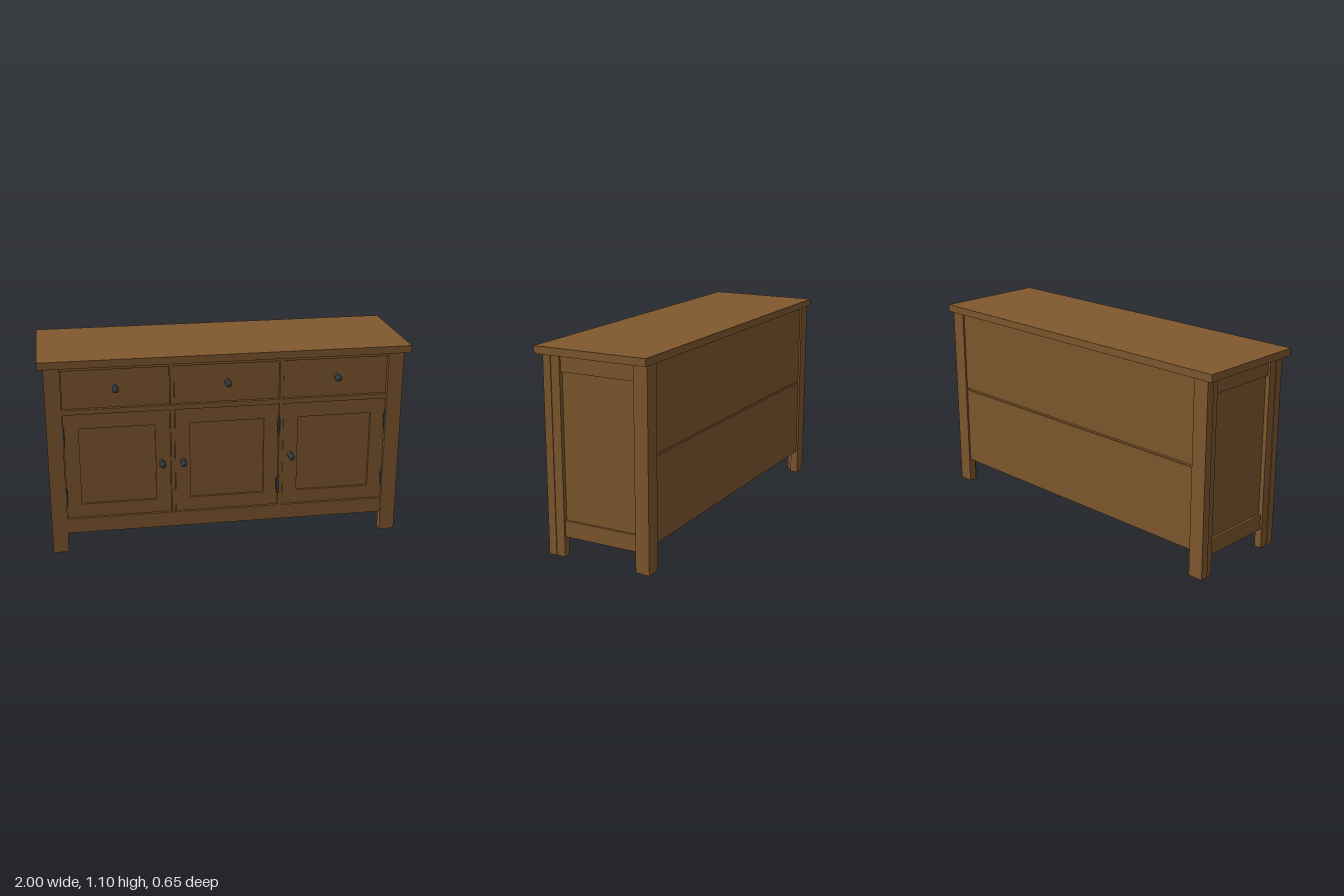
import * as THREE from 'three';

export function createModel() {
  const model = new THREE.Group();
  model.name = 'sideboard';
  const wood = new THREE.MeshStandardMaterial({ color: 0x80582e });
  wood.name = 'brown wood';
  const iron = new THREE.MeshStandardMaterial({ color: 0x3b4046 });
  iron.name = 'dark iron';

  const add = (name, geometry, material = wood, parent = model) => {
    const mesh = new THREE.Mesh(geometry, material);
    mesh.name = name;
    parent.add(mesh);
    return mesh;
  };
  // box given by its minimum and maximum on each axis
  const box = (name, x0, x1, y0, y1, z0, z1, material = wood, parent = model) => {
    const mesh = add(name, new THREE.BoxGeometry(x1 - x0, y1 - y0, z1 - z0), material, parent);
    mesh.position.set((x0 + x1) / 2, (y0 + y1) / 2, (z0 + z1) / 2);
    return mesh;
  };

  // table top
  box('top', -1, 1, 1.063, 1.103, -0.325, 0.315);

  // L-shaped corner legs: a wide board plus a slightly inset side board
  for (const [s, side] of [[1, 'left'], [-1, 'right']]) {
    const legs = { front: [0.285, 0.24, 0.19], back: [-0.315, -0.27, -0.235] };
    for (const [end, [zOuter, zMid, zInner]] of Object.entries(legs)) {
      const shape = new THREE.Shape([
        [0.885, zOuter], [0.97, zOuter], [0.97, zMid], [0.966, zMid],
        [0.966, zInner], [0.925, zInner], [0.925, zMid], [0.885, zMid],
      ].map(([x, z]) => new THREE.Vector2(s * x, -z)));
      const leg = new THREE.ExtrudeGeometry(shape, { depth: 1.063, bevelEnabled: false });
      leg.rotateX(-Math.PI / 2);
      add(`${side} ${end} leg`, leg);
    }

    // framed side panel
    const sidePart = (name, x0, x1, y0, y1) =>
      box(`${side} ${name}`, Math.min(s * x0, s * x1), Math.max(s * x0, s * x1), y0, y1, -0.236, 0.192);
    sidePart('side panel', 0.93, 0.942, 0.19, 0.98);
    sidePart('side top rail', 0.925, 0.955, 0.975, 1.063);
    sidePart('side bottom rail', 0.925, 0.955, 0.107, 0.195);
  }

  // front rails and floor
  box('front top rail', -0.885, 0.885, 1.04, 1.063, 0.24, 0.278);
  box('middle rail', -0.885, 0.885, 0.797, 0.825, 0.24, 0.28);
  box('apron', -0.885, 0.885, 0.11, 0.195, 0.24, 0.278);
  box('floor', -0.93, 0.93, 0.15, 0.17, -0.29, 0.245);

  // back boards with a groove between them
  box('lower back board', -0.9, 0.9, 0.14, 0.592, -0.305, -0.29);
  box('upper back board', -0.9, 0.9, 0.604, 1.063, -0.305, -0.29);
  box('back groove', -0.9, 0.9, 0.585, 0.61, -0.297, -0.285);

  // turned knob, its axis pointing forward
  const knobGeometry = new THREE.LatheGeometry([
    [0, 0], [0.016, 0], [0.016, 0.006], [0.008, 0.014], [0.008, 0.03],
    [0.018, 0.038], [0.018, 0.048], [0.012, 0.054], [0, 0.056],
  ].map(([r, y]) => new THREE.Vector2(r, y)), 12);
  knobGeometry.rotateX(Math.PI / 2);
  const knob = (x, y, z) => add('knob', knobGeometry, iron).position.set(x, y, z);

  // hinge: small barrel with a leaf and end caps
  const hinge = (x, y) => {
    const group = new THREE.Group();
    group.name = 'hinge';
    group.position.set(x, y, 0.28);
    add('hinge barrel', new THREE.CylinderGeometry(0.006, 0.006, 0.09, 8), iron, group);
    for (const s of [-1, 1]) {
      add('hinge cap', new THREE.SphereGeometry(0.007, 8, 6), iron, group).position.y = s * 0.047;
    }
    box('hinge leaf', -0.009, 0.009, -0.035, 0.035, -0.009, -0.002, iron, group);
    model.add(group);
  };

  // door frame with a recessed panel
  const door = (x0, x1) => {
    const y0 = 0.199, y1 = 0.795, w = 0.081;
    const rect = (C, a, b, c, d) => {
      const p = new C();
      p.moveTo(a, c);
      p.lineTo(b, c);
      p.lineTo(b, d);
      p.lineTo(a, d);
      p.closePath();
      return p;
    };
    const shape = rect(THREE.Shape, x0, x1, y0, y1);
    shape.holes.push(rect(THREE.Path, x0 + w, x1 - w, y0 + w - 0.003, y1 - w));
    const frame = new THREE.ExtrudeGeometry(shape, { depth: 0.03, bevelEnabled: false });
    add('door frame', frame).position.z = 0.242;
    box('door panel', x0 + w - 0.01, x1 - w + 0.01, y0 + w - 0.01, y1 - w + 0.01, 0.248, 0.26);
  };

  // three bays, each with a drawer above a door
  const bays = [
    { x0: -0.882, x1: -0.312, knobX: -0.36, hingeX: -0.884 },
    { x0: -0.286, x1: 0.283, knobX: -0.245, hingeX: 0.283 },
    { x0: 0.31, x1: 0.882, knobX: 0.352, hingeX: 0.884 },
  ];
  for (const { x0, x1, knobX, hingeX } of bays) {
    box('drawer front', x0, x1, 0.828, 1.037, 0.24, 0.27);
    knob(Math.round((x0 + x1) * 5) / 10, 0.938, 0.269);
    door(x0, x1);
    knob(knobX, 0.495, 0.269);
    hinge(hingeX, 0.67);
    hinge(hingeX, 0.325);
  }
  for (const x of [-0.299, 0.297]) {
    box('divider', x - 0.011, x + 0.011, 0.195, 1.04, 0.235, 0.276);
  }
  return model;
}
